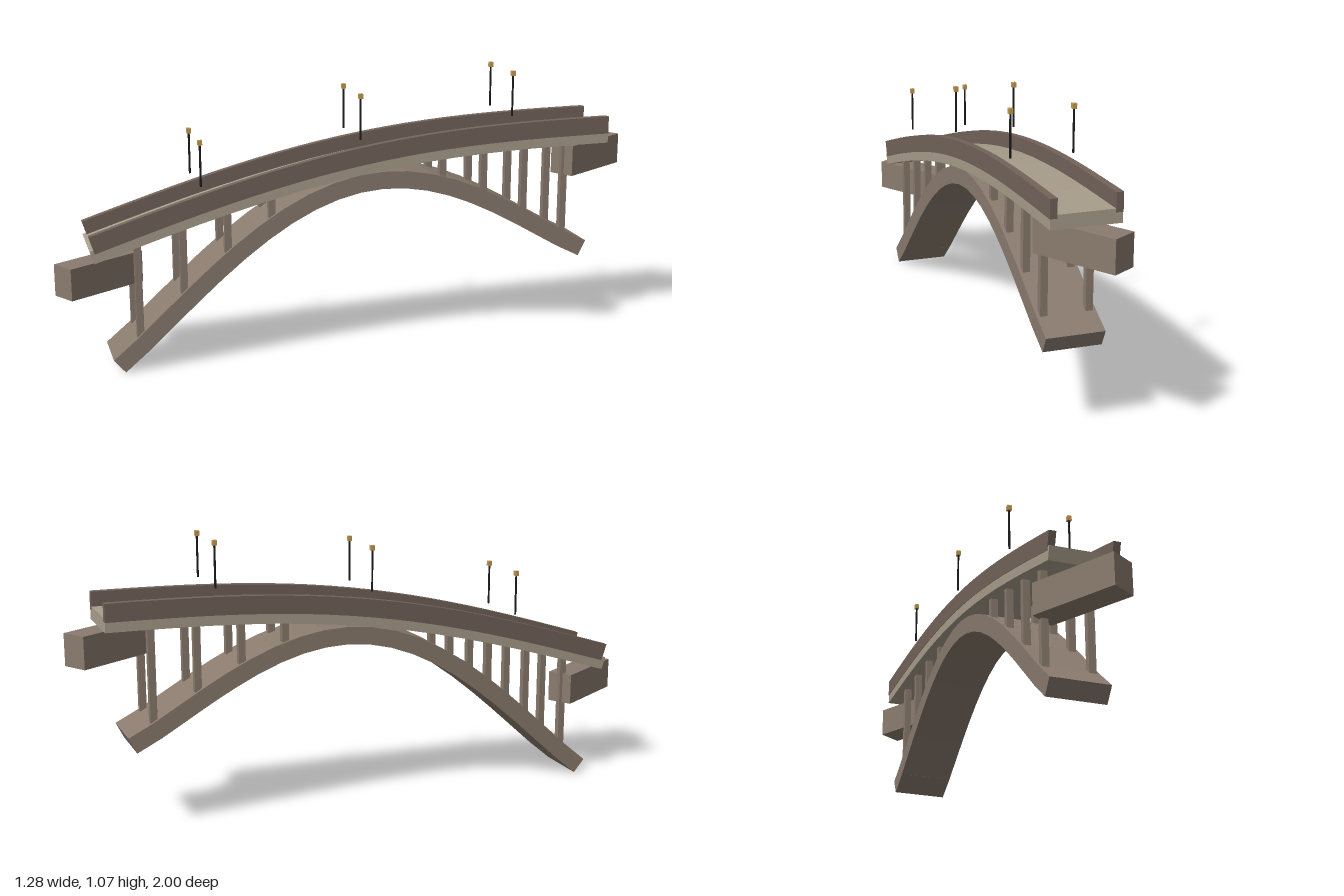
import * as THREE from 'three';

const mat = (name, color) => {
  const m = new THREE.MeshStandardMaterial({ color });
  m.name = name;
  return m;
};

export function createModel() {
  const model = new THREE.Group();
  model.name = 'archBridge';
  const deckStone = mat('paleDeckStone', 0xa89d8b);
  const wallStone = mat('darkParapetStone', 0x73645a);
  const stone = mat('brownStone', 0x8a7b6e);
  const iron = mat('blackIron', 0x1c1b1b);
  const lampGlow = mat('amberLamp', 0xc89b55);

  // The span runs along local x, diagonally across the plan
  const span = new THREE.Group();
  span.name = 'span';
  span.rotation.y = Math.atan2(0.853, 0.5225);
  model.add(span);

  const box = (parent, name, material, size, pos) => {
    const mesh = new THREE.Mesh(new THREE.BoxGeometry(...size), material);
    mesh.name = name;
    mesh.position.set(...pos);
    parent.add(mesh);
    return mesh;
  };

  // Height curves over t from -1 (low end) to 1 (high end)
  const deckHalf = 1.014, archHalf = 0.929;
  const crest = t => 0.705 + 0.165 * t + 0.1 * Math.cos(Math.PI * t / 2);
  const archAxis = t =>
    0.181 + 0.154 * t + 0.48 * Math.pow(Math.max(0, Math.cos(Math.PI * t / 2)), 1.1);

  // Chain of straight blocks following a height curve
  const blockChain = (name, material, half, curve, count, thick, width, z, overlap) => {
    const chain = new THREE.Group();
    chain.name = name;
    span.add(chain);
    for (let i = 0; i < count; i++) {
      const a = -1 + 2 * i / count, b = -1 + 2 * (i + 1) / count;
      const dx = (b - a) * half, dy = curve(b) - curve(a);
      // only interior joints overlap
      const before = i > 0 ? overlap : 0, after = i < count - 1 ? overlap : 0;
      const len = Math.hypot(dx, dy), shift = (after - before) / 2 / len;
      const block = box(chain, name + 'Block', material, [len + before + after, thick, width],
        [(a + b) / 2 * half + dx * shift, (curve(a) + curve(b)) / 2 + dy * shift, z]);
      block.rotation.z = Math.atan2(dy, dx);
    }
  };

  // Roadway, parapets and arch ring
  blockChain('deck', deckStone, deckHalf, t => crest(t) - 0.08, 16, 0.05, 0.25, 0, 0.001);
  for (const side of [-1, 1]) {
    blockChain('parapet', wallStone, deckHalf, t => crest(t) - 0.034, 24, 0.068, 0.026,
      side * 0.1135, 0.001);
  }
  blockChain('arch', stone, archHalf, archAxis, 20, 0.067, 0.213, 0, 0.004);

  // Paired piers standing on the arch
  for (const k of [-5, -4, -3, -2, 2, 3, 4, 5]) {
    const t = k / 6, x = t * deckHalf;
    const bottom = archAxis(x / archHalf), top = crest(t) - 0.08;
    for (const side of [-1, 1]) {
      box(span, 'pier', stone, [0.026, top - bottom, 0.026],
        [x, (top + bottom) / 2, side * 0.082]);
    }
  }

  // Lamp posts above both parapets
  for (const t of [-0.6, 0, 0.6]) {
    for (const side of [-1, 1]) {
      const lamp = new THREE.Group();
      lamp.name = 'lampPost';
      lamp.position.set(t * deckHalf, crest(t) + 0.03, side * 0.115);
      span.add(lamp);
      const pole = new THREE.Mesh(new THREE.CylinderGeometry(0.004, 0.004, 0.16, 8), iron);
      pole.name = 'pole';
      pole.position.y = 0.08;
      lamp.add(pole);
      box(lamp, 'lampHead', lampGlow, [0.016, 0.019, 0.016], [0, 0.165, 0]);
    }
  }

  // Abutment blocks under each end of the deck
  box(model, 'lowAbutment', stone, [0.1, 0.12, 0.33], [-0.51, 0.365, 0.835]);
  box(model, 'highAbutment', stone, [0.1, 0.12, 0.33], [0.51, 0.7, -0.835]);

  return model;
}
